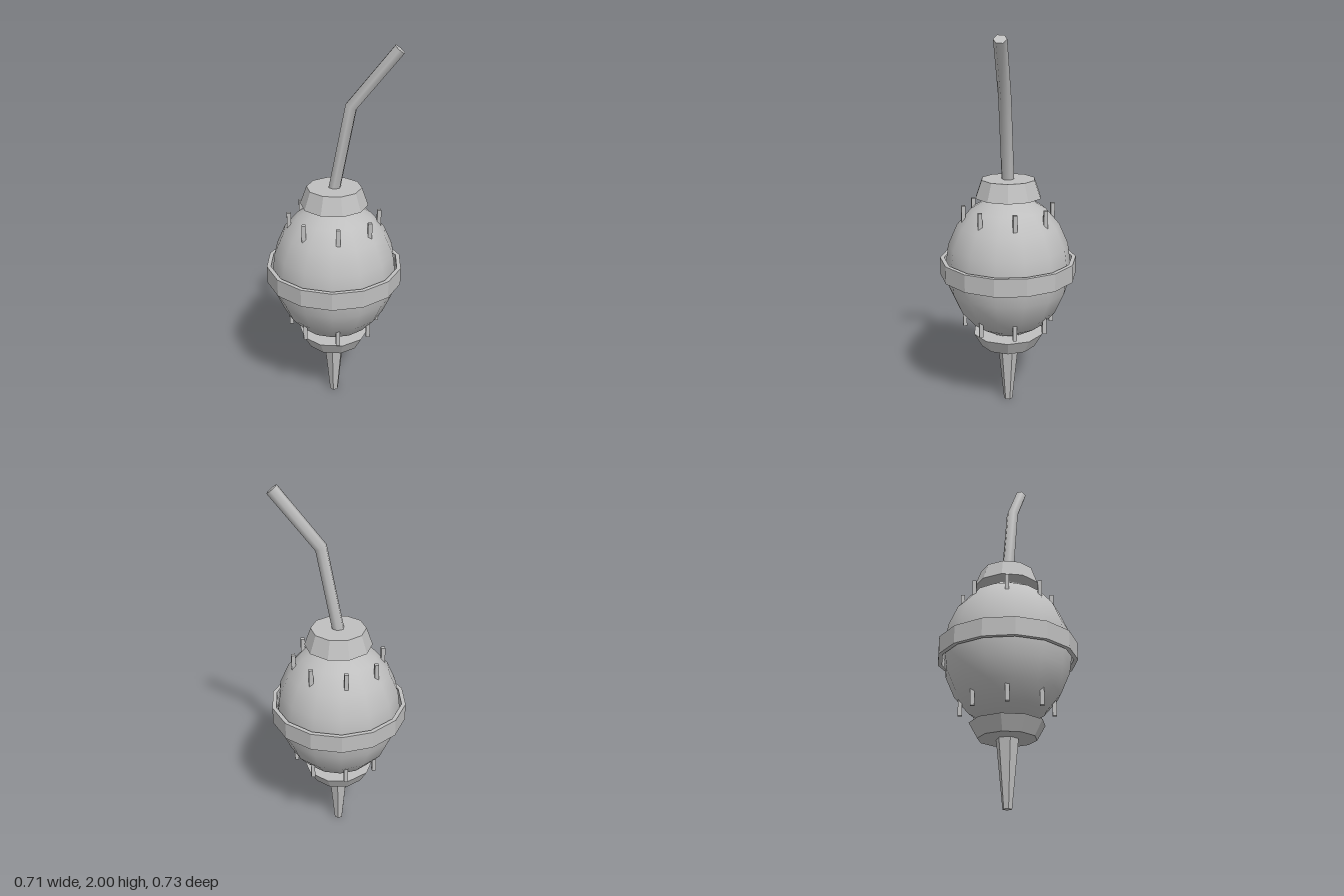
import * as THREE from 'three';

export function createModel() {
  const model = new THREE.Group();
  const grey = new THREE.MeshStandardMaterial({ color: 0xbfbfbf });
  grey.name = 'plain grey';

  const add = (name, geometry, y = 0) => {
    const mesh = new THREE.Mesh(geometry, grey);
    mesh.name = name;
    mesh.position.y = y;
    model.add(mesh);
    return mesh;
  };
  const faceted = (geometry) => {
    const flat = geometry.toNonIndexed();
    flat.computeVertexNormals();
    return flat;
  };
  // Faceted cone section between two heights
  const taper = (name, rTop, rBottom, y0, y1, sides) =>
    add(name, faceted(new THREE.CylinderGeometry(rTop, rBottom, y1 - y0, sides)), (y0 + y1) / 2);

  // Smooth egg-shaped body, a corner facing front
  const body = new THREE.SphereGeometry(0.337, 14, 10);
  body.rotateY(Math.PI / 2);
  body.scale(1, 0.39 / 0.337, 1);
  add('body', body, 0.795);

  // Loose belt around the middle
  const beltProfile = [[0.343, 0.747], [0.365, 0.747], [0.365, 0.842], [0.343, 0.842], [0.343, 0.747]]
    .map(([r, y]) => new THREE.Vector2(r, y));
  add('belt', faceted(new THREE.LatheGeometry(beltProfile, 14)));

  // Collars and bottom spike
  taper('topCollar', 0.144, 0.178, 1.175, 1.27, 10);
  taper('bottomCollar', 0.194, 0.15, 0.34, 0.417, 10);
  taper('spike', 0.06, 0.024, 0, 0.36, 6);

  // Two circles of eight diamond-section studs
  for (const [name, y0, y1] of [['upperStud', 1.04, 1.133], ['lowerStud', 0.46, 0.55]]) {
    for (let i = 0; i < 8; i++) {
      const a = (i * Math.PI) / 4;
      const stud = taper(name, 0.015, 0.015, y0, y1, 4);
      stud.position.x = 0.238 * Math.sin(a);
      stud.position.z = 0.238 * Math.cos(a);
    }
  }

  // Bent pipe: each ring of a cylinder is turned and moved onto a path
  const path = [[-0.003, 1.23, -0.004], [0.037, 1.7, 0.078], [0.157, 1.983, 0.272]]
    .map((p) => new THREE.Vector3(...p));
  const lower = path[1].clone().sub(path[0]).normalize();
  const upper = path[2].clone().sub(path[1]).normalize();
  const directions = [lower, lower.clone().add(upper).normalize(), upper];
  const up = new THREE.Vector3(0, 1, 0);
  const turns = directions.map((d) => new THREE.Quaternion().setFromUnitVectors(up, d));
  const pipe = new THREE.CylinderGeometry(0.033, 0.033, 2, 6, 2);
  const { position, normal } = pipe.attributes;
  const v = new THREE.Vector3();
  for (let i = 0; i < position.count; i++) {
    const ring = Math.round(position.getY(i)) + 1;
    v.fromBufferAttribute(position, i).setY(0).applyQuaternion(turns[ring]).add(path[ring]);
    position.setXYZ(i, v.x, v.y, v.z);
    v.fromBufferAttribute(normal, i).applyQuaternion(turns[ring]);
    normal.setXYZ(i, v.x, v.y, v.z);
  }
  add('bentPipe', pipe);

  return model;
}
